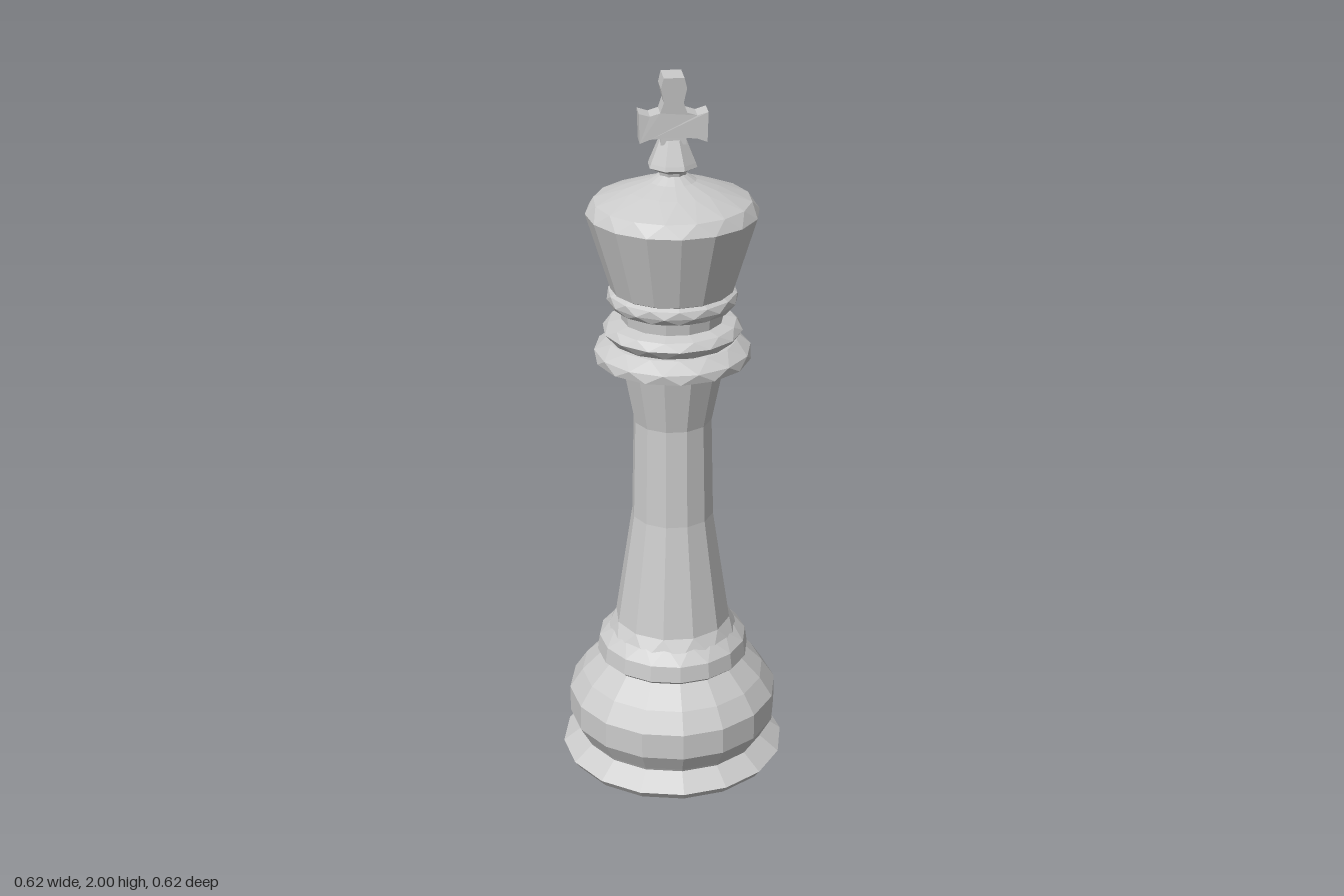
import * as THREE from 'three';

const material = new THREE.MeshStandardMaterial({ color: 0xcccccc, flatShading: true });

// Faceted turned part. Each ring is [radius, height, twist in steps from the ring below].
function turned(name, sides, rings, scaleZ = 1, phase = 0) {
  const pos = [];
  let turn = phase;
  const loops = rings.map(([r, y, twist = 0]) => {
    turn += twist;
    const loop = [];
    for (let i = 0; i <= sides; i++) {
      const a = ((i + turn) / sides) * Math.PI * 2;
      loop.push([r * Math.sin(a), y, r * Math.cos(a) * scaleZ]);
    }
    return loop;
  });
  for (let k = 0; k + 1 < loops.length; k++) {
    const lo = loops[k], hi = loops[k + 1];
    for (let i = 0; i < sides; i++) {
      if (rings[k][0] > 0) pos.push(...lo[i], ...lo[i + 1], ...hi[i]);
      if (rings[k + 1][0] > 0) pos.push(...lo[i + 1], ...hi[i + 1], ...hi[i]);
    }
  }
  const geo = new THREE.BufferGeometry();
  geo.setAttribute('position', new THREE.Float32BufferAttribute(pos, 3));
  geo.computeVertexNormals();
  const mesh = new THREE.Mesh(geo, material);
  mesh.name = name;
  return mesh;
}

// Flared cross, thicker towards its top
function makeCross() {
  const half = [[0.033, 1.825], [0.033, 1.842], [0.06, 1.84], [0.086, 1.83], [0.088, 1.908],
    [0.06, 1.9], [0.034, 1.908], [0.025, 1.935], [0.033, 1.972], [0.026, 2]];
  const left = half.map(([x, y]) => [-x, y]).reverse();
  const shape = new THREE.Shape([...half, ...left].map(([x, y]) => new THREE.Vector2(x, y)));
  const geo = new THREE.ExtrudeGeometry(shape, { depth: 2, bevelEnabled: false });
  geo.translate(0, 0, -1);
  const p = geo.attributes.position;
  for (let i = 0; i < p.count; i++) {
    const t = THREE.MathUtils.clamp((p.getY(i) - 1.9) / 0.1, 0, 1);
    p.setZ(i, p.getZ(i) * (0.029 + 0.011 * t));
  }
  geo.computeVertexNormals();
  const mesh = new THREE.Mesh(geo, material);
  mesh.name = 'cross';
  return mesh;
}

export function createModel() {
  const model = new THREE.Group();
  model.name = 'chessKing';
  model.add(
    // Foot, bulge and the step under the shaft
    turned('base', 16, [
      [0, 0.005], [0.2, 0], [0.295, 0.035], [0.312, 0.058], [0.258, 0.1], [0.262, 0.108],
      [0.291, 0.16], [0.291, 0.235], [0.255, 0.29], [0.2, 0.345], [0.211, 0.355],
      [0.205, 0.4], [0.165, 0.44, 0.5], [0.1, 0.46],
    ]),
    // Shaft with a zigzag foot
    turned('shaft', 12, [
      [0.19, 0.405], [0.16, 0.46, 0.5], [0.112, 0.78], [0.106, 1.06], [0.142, 1.24],
    ]),
    // Wide flat collar
    turned('lowerCollar', 14, [
      [0.1, 1.222], [0.165, 1.225], [0.208, 1.24], [0.208, 1.265, 0.5], [0.17, 1.292, 0.5], [0.12, 1.3],
    ]),
    // Two narrow zigzag collars around a neck
    turned('middleCollar', 14, [
      [0.13, 1.28], [0.165, 1.295, 0.5], [0.186, 1.32, 0.5], [0.17, 1.34, 0.5], [0.135, 1.348],
      [0.138, 1.378], [0.162, 1.388, 0.5], [0.173, 1.405, 0.5], [0.17, 1.425, 0.5], [0.13, 1.45],
    ]),
    // Flared crown with a domed top
    turned('crown', 16, [
      [0.13, 1.415], [0.163, 1.435], [0.226, 1.64], [0.205, 1.672, 0.5],
      [0.12, 1.705, 0.5], [0.062, 1.725], [0.03, 1.745], [0, 1.745],
    ]),
    // Small stem holding the cross
    turned('finial', 8, [
      [0.035, 1.735], [0.038, 1.75], [0.066, 1.764], [0.062, 1.775], [0.036, 1.836], [0, 1.836],
    ], 1, 0.5),
    makeCross(),
  );
  return model;
}
